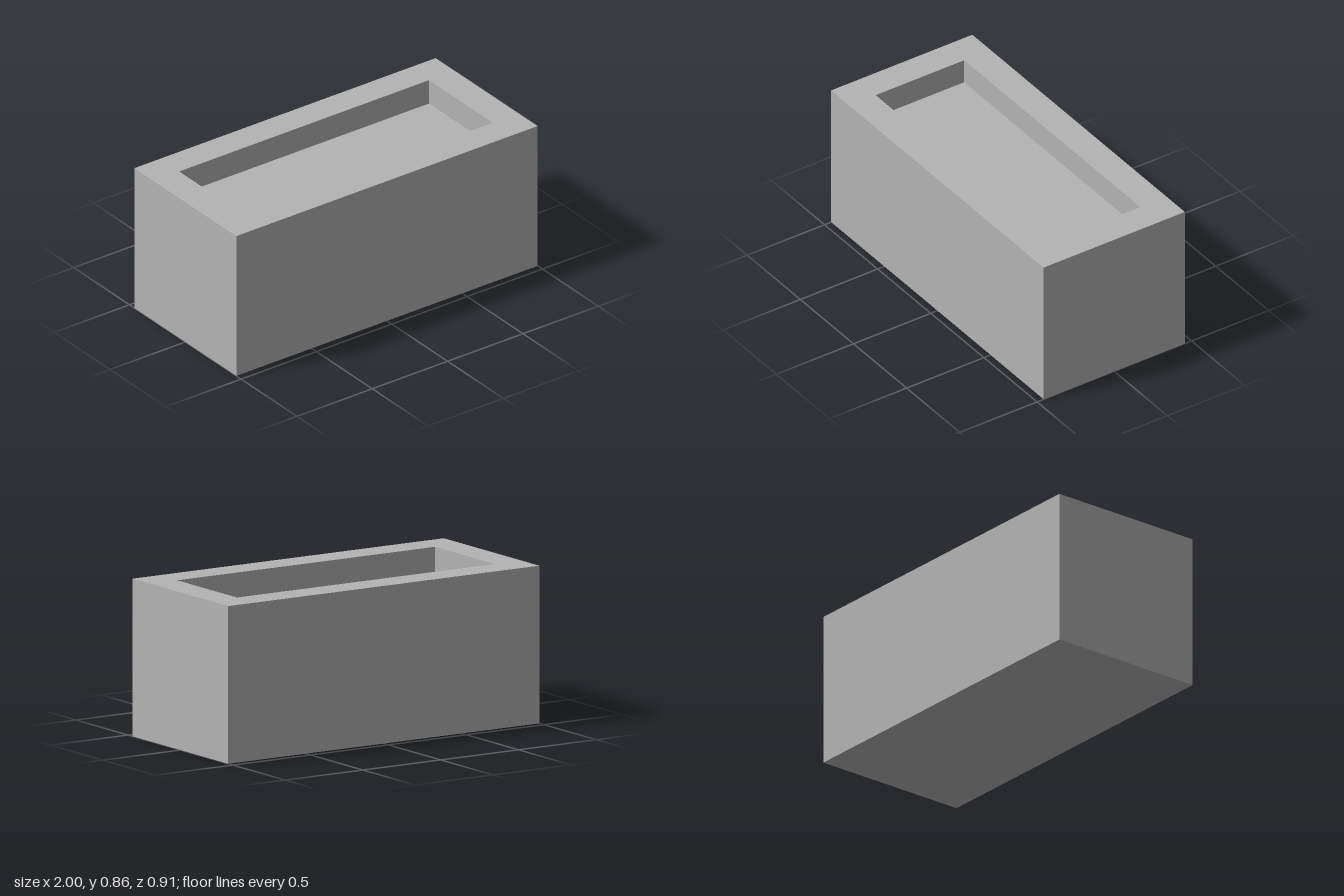
import * as THREE from 'three';

// Corners of a horizontal rectangle, counter-clockwise seen from above
const ring = (x, z, y) => [[-x, y, z], [x, y, z], [x, y, -z], [-x, y, -z]];

export function createModel() {
  const model = new THREE.Group();
  const stone = new THREE.MeshStandardMaterial({ color: 0xb4b4b4 });
  stone.name = 'plain grey';

  const halfX = 1, halfZ = 0.457, height = 0.857;
  const wall = 0.171, recess = 0.143;

  // Cross-sections from the underside, up the outside, over the rim, down to the recess floor
  const rings = [
    ring(halfX, halfZ, 0),
    ring(halfX, halfZ, height),
    ring(halfX - wall, halfZ - wall, height),
    ring(halfX - wall, halfZ - wall, height - recess),
  ];

  const positions = [];
  const quad = (a, b, c, d) => positions.push(...[a, b, c, a, c, d].flat());

  // Outer walls, rim and recess walls
  for (let i = 0; i < rings.length - 1; i++) {
    for (let j = 0; j < 4; j++) {
      const k = (j + 1) % 4;
      quad(rings[i][j], rings[i][k], rings[i + 1][k], rings[i + 1][j]);
    }
  }
  // Recess floor and underside
  quad(...rings[3]);
  quad(...[...rings[0]].reverse());

  const geometry = new THREE.BufferGeometry();
  geometry.setAttribute('position', new THREE.Float32BufferAttribute(positions, 3));
  geometry.computeVertexNormals();

  const planter = new THREE.Mesh(geometry, stone);
  planter.name = 'planterBox';
  model.add(planter);
  return model;
}
